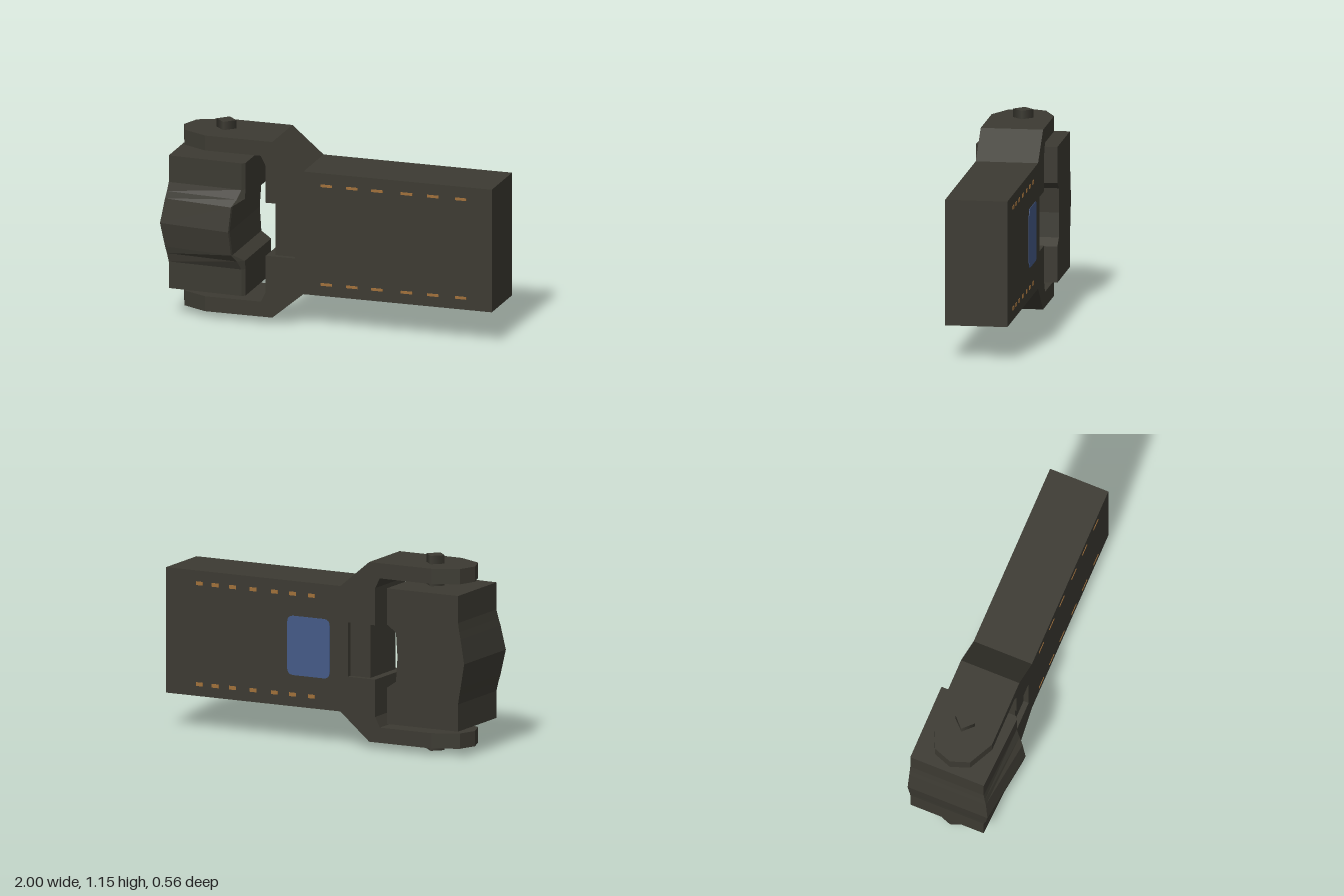
import * as THREE from 'three';

const MID = 0.57; // height of the mirror plane shared by body, arms and head
const BACK = -0.22, FRONT = 0.145;

const mats = {
  casing: new THREE.MeshStandardMaterial({ color: 0x3c3a32 }),
  copper: new THREE.MeshStandardMaterial({ color: 0xa0703a }),
  blue: new THREE.MeshStandardMaterial({ color: 0x445a87 }),
};
mats.casing.name = 'dark olive casing';
mats.copper.name = 'copper marks';
mats.blue.name = 'blue panel';

function toShape(points) {
  return new THREE.Shape(points.map(([x, y]) => new THREE.Vector2(x, y)));
}

function extrude(shape, depth) {
  return new THREE.ExtrudeGeometry(shape, { depth, bevelEnabled: false, curveSegments: 4 });
}

// Joins horizontal rings, each { y, pts: [[x, z], ...] }, into a faceted closed solid
function loft(rings) {
  const pos = [];
  const n = rings[0].pts.length;
  const put = (i, j) => pos.push(rings[i].pts[j % n][0], rings[i].y, rings[i].pts[j % n][1]);
  const tri = (...corners) => corners.forEach(([i, j]) => put(i, j));
  for (let i = 0; i < rings.length - 1; i++) {
    for (let j = 0; j < n; j++) {
      tri([i, j], [i, j + 1], [i + 1, j + 1]);
      tri([i, j], [i + 1, j + 1], [i + 1, j]);
    }
  }
  const top = rings.length - 1;
  for (let j = 1; j < n - 1; j++) {
    tri([top, 0], [top, j], [top, j + 1]);
    tri([0, 0], [0, j + 1], [0, j]);
  }
  const g = new THREE.BufferGeometry();
  g.setAttribute('position', new THREE.Float32BufferAttribute(pos, 3));
  g.computeVertexNormals();
  return g;
}

export function createModel() {
  const model = new THREE.Group();
  const add = (name, geometry, material, x = 0, y = 0, z = 0) => {
    const mesh = new THREE.Mesh(geometry, material);
    mesh.name = name;
    mesh.position.set(x, y, z);
    model.add(mesh);
    return mesh;
  };

  // Main body with flared shoulders and a notch facing the head
  const half = [[1, 0.37], [-0.15, 0.37], [-0.34, 0.53], [-0.42, 0.53],
    [-0.41, 0.44], [-0.38, 0.38], [-0.38, 0.16], [-0.2, 0.16]];
  const lower = half.map(([x, y]) => [x, -y]).reverse();
  const body = extrude(toShape([...half, ...lower]), FRONT - BACK);
  add('body', body, mats.casing, 0, MID, BACK);

  // Block set into the notch
  add('notchBlock', new THREE.BoxGeometry(0.14, 0.32, 0.3), mats.casing, -0.262, MID, -0.037);

  // Fork arms with faceted round ends
  const plan = [[-0.41, -FRONT], [-0.41, -BACK], [-0.75, -BACK],
    [-0.9, 0.15], [-0.94, 0.04], [-0.9, -0.07], [-0.75, -FRONT]];
  const arm = extrude(toShape(plan), 0.09).rotateX(-Math.PI / 2);
  add('upperArm', arm, mats.casing, 0, 1.01, 0);
  add('lowerArm', arm, mats.casing, 0, 0.04, 0);

  // Four-sided hinge pin through both arms
  add('hingePin', new THREE.CylinderGeometry(0.06, 0.06, 1.15, 4), mats.casing, -0.685, 0.575, -0.05);

  // Swivelling head: bulged front and left side, notched on the side facing the body
  // [height from middle, left x, left z, front right x, front right z, right x, right z]
  const levels = [
    [0.4, -0.96, 0.18, -0.51, 0.2, -0.49, 0.185],
    [0.24, -0.96, 0.18, -0.51, 0.2, -0.49, 0.185],
    [0.187, -0.968, 0.19, -0.53, 0.225, -0.49, 0.195],
    [0.145, -0.976, 0.2, -0.555, 0.255, -0.55, 0.24],
    [0, -1, 0.22, -0.565, 0.278, -0.56, 0.265],
  ];
  const ring = ([h, lx, lz, fx, fz, rx, rz], side) => ({
    y: MID + side * h,
    pts: [[lx, lz], [fx, fz], [rx, rz], [rx, -0.28], [lx, -0.28]],
  });
  const rings = [
    ...levels.map((l) => ring(l, -1)),
    ...levels.slice(0, -1).reverse().map((l) => ring(l, 1)),
  ];
  add('head', loft(rings), mats.casing);

  // Small copper marks along both edges, front and back
  const rows = [
    { name: 'frontMark', z: FRONT, w: 0.07, h: 0.016, xs: [-0.01, 0.145, 0.3, 0.48, 0.64, 0.81] },
    { name: 'backMark', z: BACK, w: 0.045, h: 0.022, xs: [0.04, 0.165, 0.285, 0.425, 0.56, 0.675, 0.78] },
  ];
  for (const { name, z, w, h, xs } of rows) {
    const mark = new THREE.BoxGeometry(w, h, 0.006);
    for (const x of xs) {
      for (const y of [0.27, 0.865]) add(name, mark, mats.copper, x, y, z);
    }
  }

  // Rounded blue panel on the back
  const w = 0.14, h = 0.175, r = 0.04;
  const panel = new THREE.Shape();
  panel.moveTo(-w + r, -h);
  panel.lineTo(w - r, -h);
  panel.quadraticCurveTo(w, -h, w, -h + r);
  panel.lineTo(w, h - r);
  panel.quadraticCurveTo(w, h, w - r, h);
  panel.lineTo(-w + r, h);
  panel.quadraticCurveTo(-w, h, -w, h - r);
  panel.lineTo(-w, -h + r);
  panel.quadraticCurveTo(-w, -h, -w + r, -h);
  add('bluePanel', extrude(panel, 0.006), mats.blue, 0.06, 0.56, BACK - 0.003);

  return model;
}
